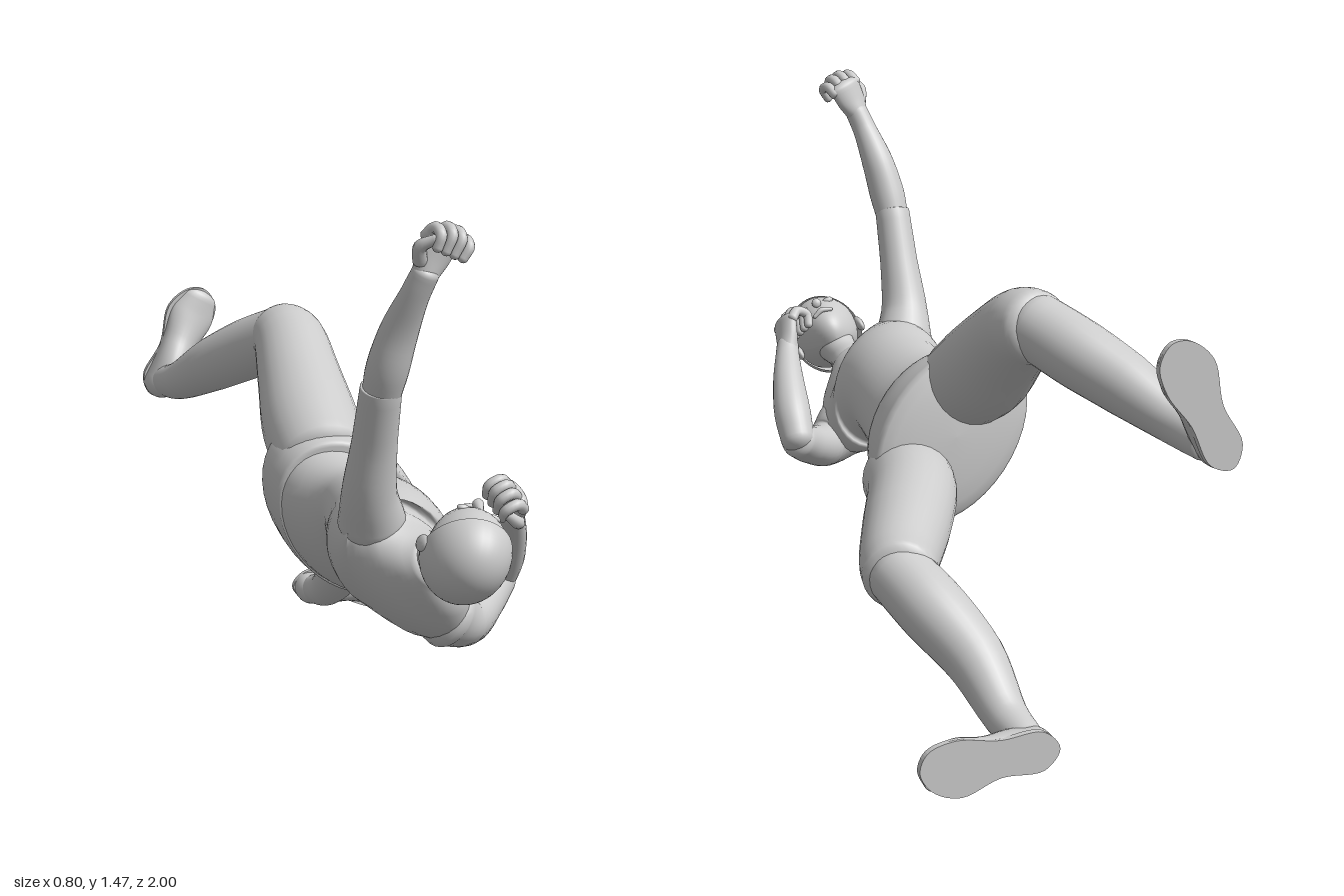
import * as THREE from 'three';

const V = (x, y, z) => new THREE.Vector3(x, y, z);
const mat = new THREE.MeshStandardMaterial({ color: 0xcccccc, side: THREE.DoubleSide });
const LATERAL = V(-0.6, 0.8, 0); // direction across the shoulders and hips

function addMesh(parent, name, geometry) {
  const mesh = new THREE.Mesh(geometry, mat);
  mesh.name = name;
  parent.add(mesh);
  return mesh;
}

// Smooth skin over elliptic stations [x, y, z, a, b]; a lies along ref, caps are rounded end lengths
function loft(stations, { ref = V(1, 0, 0), caps = [0.02, 0.02], steps = 5, sides = 28 } = {}) {
  const path = new THREE.CatmullRomCurve3(stations.map(s => V(s[0], s[1], s[2])));
  const radii = new THREE.CatmullRomCurve3(stations.map(s => V(s[3], s[4] ?? s[3], 0)));
  const n = (stations.length - 1) * steps;
  const rings = [];
  const ring = (t, shift, scale) => {
    const dir = path.getTangent(t);
    const r = radii.getPoint(t);
    rings.push({ c: path.getPoint(t).addScaledVector(dir, shift), dir, a: r.x * scale, b: r.y * scale });
  };
  for (let k = 0; k < 5; k++) {
    const q = k / 5 * Math.PI / 2;
    ring(0, -caps[0] * Math.cos(q), Math.max(Math.sin(q), 0.001));
  }
  for (let i = 0; i <= n; i++) ring(i / n, 0, 1);
  for (let k = 4; k >= 0; k--) {
    const q = k / 5 * Math.PI / 2;
    ring(1, caps[1] * Math.cos(q), Math.max(Math.sin(q), 0.001));
  }
  const pos = [], index = [];
  rings.forEach(({ c, dir, a, b }, i) => {
    const u = ref.clone().addScaledVector(dir, -ref.dot(dir)).normalize();
    const v = dir.clone().cross(u);
    for (let j = 0; j < sides; j++) {
      const q = j / sides * Math.PI * 2;
      const p = c.clone().addScaledVector(u, a * Math.cos(q)).addScaledVector(v, b * Math.sin(q));
      pos.push(p.x, p.y, p.z);
      if (i === rings.length - 1) continue;
      const k = (j + 1) % sides, s = i * sides, e = s + sides;
      index.push(s + j, s + k, e + j, s + k, e + k, e + j);
    }
  });
  const g = new THREE.BufferGeometry();
  g.setAttribute('position', new THREE.Float32BufferAttribute(pos, 3));
  g.setIndex(index);
  g.computeVertexNormals();
  return g;
}

// Closed hand: local y runs along the hand, z out of the palm, x across the knuckles
function hand(name, wrist, along, palm, thumbSide) {
  const g = new THREE.Group();
  g.name = name;
  const y = along.clone().normalize();
  const z = palm.clone().addScaledVector(y, -palm.dot(y)).normalize();
  g.quaternion.setFromRotationMatrix(new THREE.Matrix4().makeBasis(y.clone().cross(z), y, z));
  g.position.copy(wrist);
  addMesh(g, 'palm', loft([[0, -0.01, 0, 0.032, 0.028], [0, 0.03, 0, 0.044, 0.024], [0, 0.075, 0, 0.05, 0.022]]));
  for (let i = 0; i < 4; i++) {
    const x = (i - 1.5) * 0.027, l = i === 0 || i === 3 ? 0.9 : 1;
    addMesh(g, 'finger', loft([[x, 0.07, 0, 0.015], [x, 0.107 * l, 0.018, 0.0145],
      [x, 0.1 * l, 0.05, 0.0135], [x * 0.9, 0.06, 0.054, 0.012]], { sides: 10, caps: [0.01, 0.01] }));
  }
  const s = thumbSide;
  addMesh(g, 'thumb', loft([[s * 0.03, 0.015, 0.005, 0.018], [s * 0.056, 0.045, 0.02, 0.016],
    [s * 0.045, 0.075, 0.045, 0.012]], { sides: 10, caps: [0.01, 0.012] }));
  return g;
}

// Shoe with a flat sole facing -z, laid from heel to toe
function shoe(name, heel, angle, soleZ, side) {
  const g = new THREE.Group();
  g.name = name;
  const outline = new THREE.Shape();
  outline.setFromPoints(new THREE.CatmullRomCurve3([
    V(0, 0, 0), V(0.04, 0.047, 0), V(0.15, 0.046, 0), V(0.26, 0.07 + side * 0.006, 0), V(0.33, 0.045, 0),
    V(0.35, 0, 0), V(0.32, -0.05, 0), V(0.25, -0.07 + side * 0.006, 0), V(0.15, -0.046, 0), V(0.04, -0.047, 0),
  ], true).getPoints(60));
  addMesh(g, 'sole', new THREE.ExtrudeGeometry(outline, { depth: 0.018, bevelEnabled: false, curveSegments: 1 }));
  const upper = loft([[0.045, 0, 0.035, 0.045, 0.08], [0.1, 0, 0.035, 0.046, 0.075],
    [0.18, 0, 0.02, 0.052, 0.05], [0.26, 0, 0.012, 0.066, 0.035], [0.315, 0, 0.01, 0.052, 0.026]],
  { ref: V(0, 1, 0), caps: [0.042, 0.03] });
  const p = upper.attributes.position;
  for (let i = 0; i < p.count; i++) p.setZ(i, Math.max(p.getZ(i), 0.008));
  upper.computeVertexNormals();
  addMesh(g, 'upper', upper);
  g.position.set(heel[0], heel[1], soleZ);
  g.rotation.z = angle;
  return g;
}

// Head in its own frame: y to the crown, z to the face
function head() {
  const g = new THREE.Group();
  g.name = 'head';
  const y = V(-0.02, 0.12, 0.99).normalize();
  const face = V(0.38, 0.92, 0);
  const z = face.addScaledVector(y, -face.dot(y)).normalize();
  g.quaternion.setFromRotationMatrix(new THREE.Matrix4().makeBasis(y.clone().cross(z), y, z));
  g.position.set(-0.05, 0.695, 0.87);
  const skull = new THREE.SphereGeometry(1, 36, 28);
  const p = skull.attributes.position;
  for (let i = 0; i < p.count; i++) {
    const t = Math.max(0, -p.getY(i));
    const front = p.getZ(i) > 0;
    p.setXYZ(i, p.getX(i) * 0.096 * (1 - 0.22 * t), p.getY(i) * 0.127,
      p.getZ(i) * 0.11 * (front ? 1 : 1 - 0.4 * t) + 0.03 * t * t);
  }
  skull.computeVertexNormals();
  addMesh(g, 'face', skull);
  // Hair cap tipped to the back
  const hair = new THREE.SphereGeometry(1, 36, 20, 0, Math.PI * 2, 0, 1.62);
  hair.rotateX(-0.72).scale(0.103, 0.131, 0.117);
  hair.computeVertexNormals();
  addMesh(g, 'hair', hair);
  addMesh(g, 'nose', loft([[0, 0.0, 0.103, 0.008], [0, -0.035, 0.118, 0.014]], { sides: 12, caps: [0.01, 0.008] }));
  addMesh(g, 'mouth', loft([[-0.024, -0.072, 0.098, 0.006], [0, -0.07, 0.106, 0.008], [0.024, -0.072, 0.098, 0.006]],
    { ref: V(0, 1, 0), sides: 10, caps: [0.008, 0.008] }));
  for (const s of [-1, 1]) {
    const ear = addMesh(g, 'ear', new THREE.SphereGeometry(1, 14, 10));
    ear.scale.set(0.012, 0.034, 0.021);
    ear.position.set(s * 0.1, -0.02, -0.008);
    const eye = addMesh(g, 'eye', new THREE.SphereGeometry(1, 14, 10));
    eye.scale.set(0.018, 0.01, 0.01);
    eye.position.set(s * 0.038, -0.008, 0.098);
  }
  return g;
}

export function createModel() {
  const body = new THREE.Group();
  body.name = 'figure';

  // Shirt, shorts and neck
  addMesh(body, 'shirt', loft([[-0.085, 0.585, 0, 0.23, 0.165], [-0.09, 0.585, 0.1, 0.215, 0.16],
    [-0.08, 0.61, 0.25, 0.162, 0.115], [-0.095, 0.625, 0.4, 0.155, 0.138], [-0.11, 0.615, 0.52, 0.185, 0.148],
    [-0.1, 0.595, 0.6, 0.215, 0.122], [-0.085, 0.61, 0.66, 0.165, 0.093], [-0.07, 0.635, 0.71, 0.07, 0.066]],
  { ref: LATERAL, sides: 40 }));
  addMesh(body, 'shorts', loft([[-0.085, 0.585, 0.1, 0.228, 0.172], [-0.08, 0.59, 0.04, 0.25, 0.18],
    [-0.075, 0.595, -0.035, 0.262, 0.18]], { ref: LATERAL, sides: 40, caps: [0.004, 0.04] }));
  addMesh(body, 'neck', loft([[-0.085, 0.61, 0.64, 0.062], [-0.065, 0.645, 0.72, 0.056], [-0.05, 0.68, 0.8, 0.056]]));
  body.add(head());

  // Raised leg, bent at the knee
  addMesh(body, 'leftThigh', loft([[-0.14, 0.72, 0.02, 0.125], [-0.135, 0.78, -0.1, 0.13],
    [-0.12, 0.88, -0.27, 0.114], [-0.105, 0.955, -0.42, 0.1], [-0.11, 0.967, -0.48, 0.092]], { caps: [0.04, 0.04] }));
  addMesh(body, 'leftShin', loft([[-0.115, 0.965, -0.47, 0.084], [-0.17, 0.92, -0.57, 0.086],
    [-0.25, 0.855, -0.69, 0.078], [-0.32, 0.785, -0.82, 0.056], [-0.34, 0.76, -0.93, 0.046]], { caps: [0.06, 0.01] }));
  body.add(shoe('leftShoe', [-0.375, 0.71], 1.07, -1, 1));

  // Lower leg, stretched sideways
  addMesh(body, 'rightThigh', loft([[0.03, 0.47, 0.02, 0.12], [0.065, 0.465, -0.1, 0.118],
    [0.14, 0.425, -0.25, 0.113], [0.22, 0.385, -0.4, 0.1], [0.248, 0.375, -0.475, 0.093]], { caps: [0.04, 0.035] }));
  addMesh(body, 'rightShin', loft([[0.245, 0.375, -0.46, 0.082], [0.205, 0.315, -0.57, 0.086],
    [0.145, 0.22, -0.7, 0.075], [0.12, 0.115, -0.83, 0.054], [0.11, 0.085, -0.92, 0.046]], { caps: [0.06, 0.01] }));
  body.add(shoe('rightShoe', [0.052, 0.082], -0.03, -0.987, -1));

  // Raised arm
  addMesh(body, 'leftSleeve', loft([[-0.19, 0.72, 0.6, 0.082], [-0.21, 0.8, 0.645, 0.066],
    [-0.213, 0.93, 0.695, 0.054], [-0.214, 1.07, 0.748, 0.049]], { caps: [0.05, 0.006] }));
  addMesh(body, 'leftForearm', loft([[-0.214, 1.04, 0.738, 0.044], [-0.205, 1.12, 0.768, 0.05],
    [-0.187, 1.21, 0.797, 0.045], [-0.165, 1.3, 0.843, 0.034], [-0.148, 1.35, 0.864, 0.032]]));
  body.add(hand('leftHand', V(-0.145, 1.355, 0.862), V(0.42, 0.9, 0.08), V(0.2, -0.1, 0.9), -1));

  // Guarding arm folded in front of the chest
  addMesh(body, 'rightSleeve', loft([[0.0, 0.47, 0.6, 0.085], [0.055, 0.44, 0.575, 0.064],
    [0.13, 0.46, 0.5, 0.054], [0.19, 0.495, 0.435, 0.05]], { ref: V(0, 0, 1), caps: [0.05, 0.03] }));
  addMesh(body, 'rightForearm', loft([[0.195, 0.5, 0.43, 0.047], [0.193, 0.56, 0.475, 0.051],
    [0.177, 0.64, 0.555, 0.043], [0.155, 0.7, 0.625, 0.033], [0.147, 0.72, 0.645, 0.031]], { caps: [0.035, 0.02] }));
  body.add(hand('rightHand', V(0.148, 0.718, 0.642), V(-0.12, 0.75, 0.6), V(-0.9, -0.05, 0.25), 1));

  return body;
}
